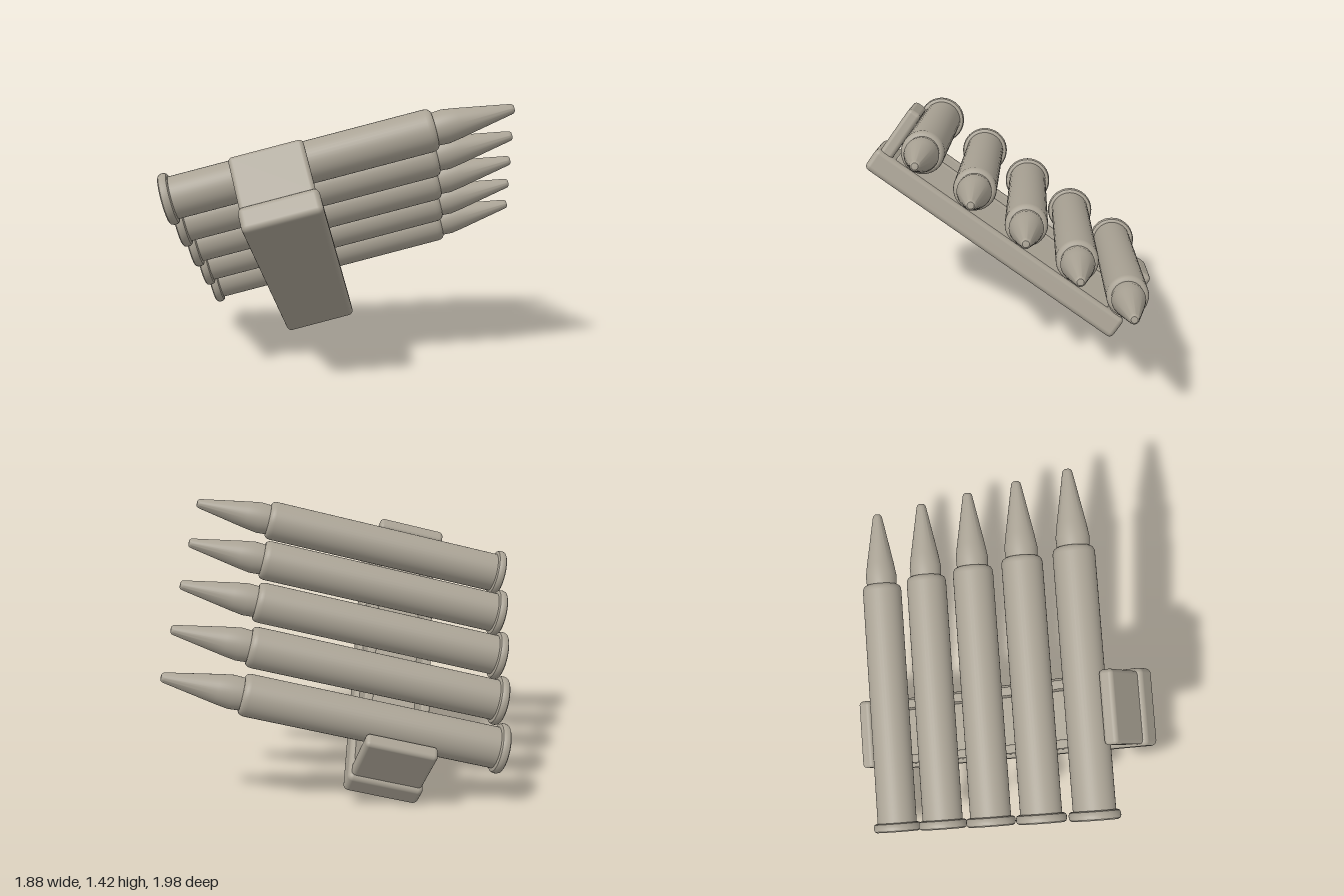
import * as THREE from 'three';
import { toCreasedNormals } from 'three/addons/utils/BufferGeometryUtils.js';
import { RoundedBoxGeometry } from 'three/addons/geometries/RoundedBoxGeometry.js';

export function createModel() {
  const model = new THREE.Group();
  model.name = 'loadedClip';
  const metal = new THREE.MeshStandardMaterial({ color: 0xaaa395 });
  metal.name = 'warm grey metal';

  const count = 5, pitch = 0.304;

  // Tilted frame: x runs along the row, y along the cartridges, z towards the back plate
  const axis = new THREE.Vector3(0.8, 0.247, -0.547).normalize();
  const row = new THREE.Vector3(-0.338, -0.56, -0.757);
  row.addScaledVector(axis, -row.dot(axis)).normalize();
  const depth = new THREE.Vector3().crossVectors(row, axis);
  const tilted = new THREE.Group();
  tilted.name = 'tiltedClip';
  tilted.quaternion.setFromRotationMatrix(new THREE.Matrix4().makeBasis(row, axis, depth));
  tilted.position.set(-0.46, 0.98, 0.885);
  model.add(tilted);

  const lathe = (points) => toCreasedNormals(
    new THREE.LatheGeometry(points.map(([r, y]) => new THREE.Vector2(r, y)), 40), 0.6);

  // Rimmed case with a rounded shoulder, and a tapered bullet with a blunt tip
  const caseGeometry = lathe([
    [0, 0.008], [0.09, 0.008], [0.096, 0], [0.112, 0], [0.122, 0.006], [0.127, 0.018],
    [0.127, 0.032], [0.122, 0.043], [0.112, 0.048], [0.105, 0.048],
    [0.105, 1.31], [0.103, 1.325], [0.097, 1.337], [0.088, 1.343], [0.078, 1.343],
  ]);
  const bulletGeometry = lathe([
    [0.08, 1.33], [0.084, 1.395], [0.074, 1.46], [0.026, 1.72],
    [0.023, 1.731], [0.016, 1.738], [0, 1.74],
  ]);
  for (let i = 0; i < count; i++) {
    const cartridge = new THREE.Group();
    cartridge.name = `cartridge${i + 1}`;
    cartridge.position.x = i * pitch;
    for (const [name, geometry] of [['case', caseGeometry], ['bullet', bulletGeometry]]) {
      const mesh = new THREE.Mesh(geometry, metal);
      mesh.name = name;
      cartridge.add(mesh);
    }
    tilted.add(cartridge);
  }

  // Rounded block given by its limits along the row, the cartridges and the depth
  const block = (name, [x0, x1], [y0, y1], [z0, z1], radius) => {
    const mesh = new THREE.Mesh(
      new RoundedBoxGeometry(x1 - x0, y1 - y0, z1 - z0, 3, radius), metal);
    mesh.name = name;
    mesh.position.set((x0 + x1) / 2, (y0 + y1) / 2, (z0 + z1) / 2);
    tilted.add(mesh);
  };

  // Back plate
  const end = (count - 1) * pitch;
  block('backPlate', [-0.2, end + 0.2], [0.345, 0.735], [0.22, 0.35], 0.028);

  // Caps at both ends of the row
  block('firstEndCap', [-0.18, -0.105], [0.355, 0.72], [-0.05, 0.24], 0.022);
  block('lastEndCap', [end + 0.105, end + 0.18], [0.355, 0.72], [-0.05, 0.24], 0.022);

  // Side walls that cradle the cartridges
  block('rearWall', [-0.085, end + 0.085], [0.365, 0.41], [0.09, 0.24], 0.01);
  block('frontWall', [-0.085, end + 0.085], [0.665, 0.71], [0.09, 0.24], 0.01);

  return model;
}
